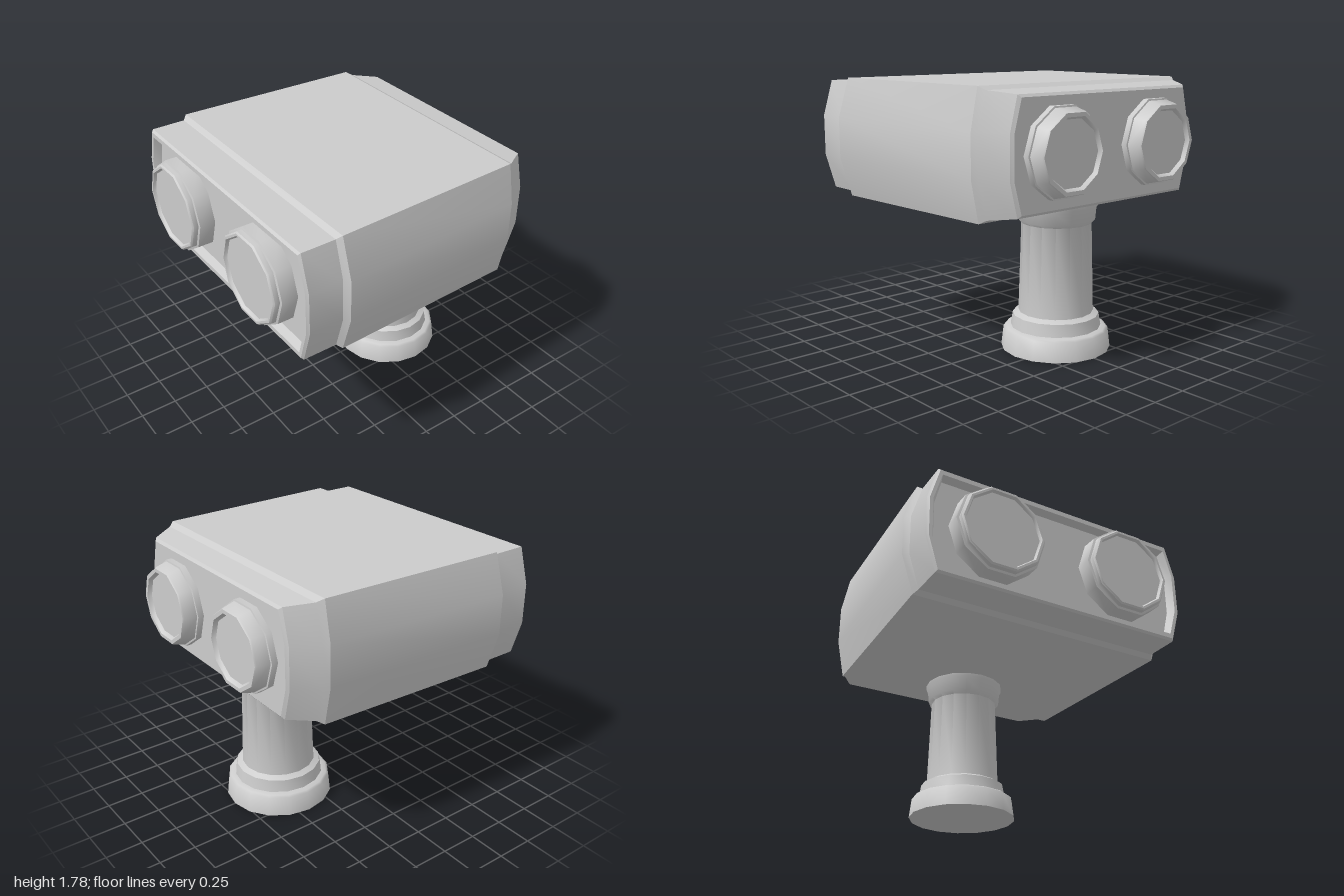
import * as THREE from 'three';
import { toCreasedNormals } from 'three/addons/utils/BufferGeometryUtils.js';

const MID_Y = 1.385;
const material = new THREE.MeshStandardMaterial({ color: 0xcccccc });

function part(name, geometry, crease) {
  const mesh = new THREE.Mesh(toCreasedNormals(geometry, crease), material);
  mesh.name = name;
  return mesh;
}

// Eight-cornered outline, counter-clockwise seen from the front
function outline([z, side, top, half]) {
  const s = 0.135;
  return [
    [side, -s], [side, s], [top, half], [-top, half],
    [-side, s], [-side, -s], [-top, -half], [top, -half],
  ].map(([x, y]) => [x, y + MID_Y, z]);
}

// Skin joining the outlines from back to front, closed at both ends
function loft(sections) {
  const positions = sections.flatMap(outline).flat();
  const n = 8, index = [];
  for (let i = 0; i < sections.length - 1; i++) {
    for (let j = 0; j < n; j++) {
      const k = (j + 1) % n;
      const a = i * n + j, b = i * n + k;
      index.push(a, b, b + n, a, b + n, a + n);
    }
  }
  const last = (sections.length - 1) * n;
  for (let j = 1; j < n - 1; j++) {
    index.push(0, j + 1, j);
    index.push(last, last + j, last + j + 1);
  }
  const geometry = new THREE.BufferGeometry();
  geometry.setAttribute('position', new THREE.Float32BufferAttribute(positions, 3));
  geometry.setIndex(index);
  return geometry;
}

function lathe(profile, sides) {
  const points = profile.map(([r, y]) => new THREE.Vector2(r, y));
  return new THREE.LatheGeometry(points, sides, Math.PI / 2);
}

export function createModel() {
  const model = new THREE.Group();
  model.name = 'binocularViewer';

  // Housing: z, half width at the sides, half width at top, half height
  const housing = loft([
    [-0.87, 0.765, 0.71, 0.335],
    [-0.855, 0.785, 0.73, 0.352],
    [-0.70, 0.885, 0.825, 0.372],
    [-0.66, 0.907, 0.855, 0.395],
    [0.63, 0.985, 0.905, 0.395],
    [0.66, 0.95, 0.88, 0.37],
    [0.885, 0.95, 0.88, 0.37],
    [0.90, 0.935, 0.87, 0.357],
    [0.90, 0.912, 0.855, 0.325],
    [0.85, 0.885, 0.84, 0.305], // recessed front panel
  ]);
  model.add(part('housing', housing, 0.3));

  // Profiles: radius, distance along the viewing axis
  const frontLens = [
    [0.31, 0.84], [0.31, 0.955], [0.295, 0.96], [0.293, 0.99], [0.283, 1.0],
    [0.268, 1.0], [0.258, 0.98], [0, 0.98],
  ];
  const rearLens = [
    [0.287, 0.84], [0.287, 0.91], [0.276, 0.912], [0.256, 0.99], [0.25, 1.0],
    [0.225, 1.0], [0.21, 0.975], [0, 0.975],
  ];
  for (const side of [-1, 1]) {
    const label = side > 0 ? 'left' : 'right';
    const front = part(label + 'FrontLens', lathe(frontLens, 10).rotateX(Math.PI / 2), 0.65);
    front.position.set(side * 0.475, 1.39, 0);
    const rear = part(label + 'Eyepiece', lathe(rearLens, 10).rotateX(-Math.PI / 2), 0.65);
    rear.position.set(side * 0.41, 1.39, 0);
    model.add(front, rear);
  }

  // Stand with a stepped foot and a collar under the housing
  const stand = lathe([
    [0, 0], [0.366, 0], [0.35, 0.13], [0.335, 0.142], [0.302, 0.148],
    [0.288, 0.23], [0.25, 0.25], [0.232, 0.85], [0.255, 0.87],
    [0.262, 0.95], [0.275, 0.97], [0.277, 1.05], [0, 1.05],
  ], 16);
  const standMesh = part('stand', stand, 0.9);
  standMesh.position.z = -0.425;
  model.add(standMesh);

  return model;
}
